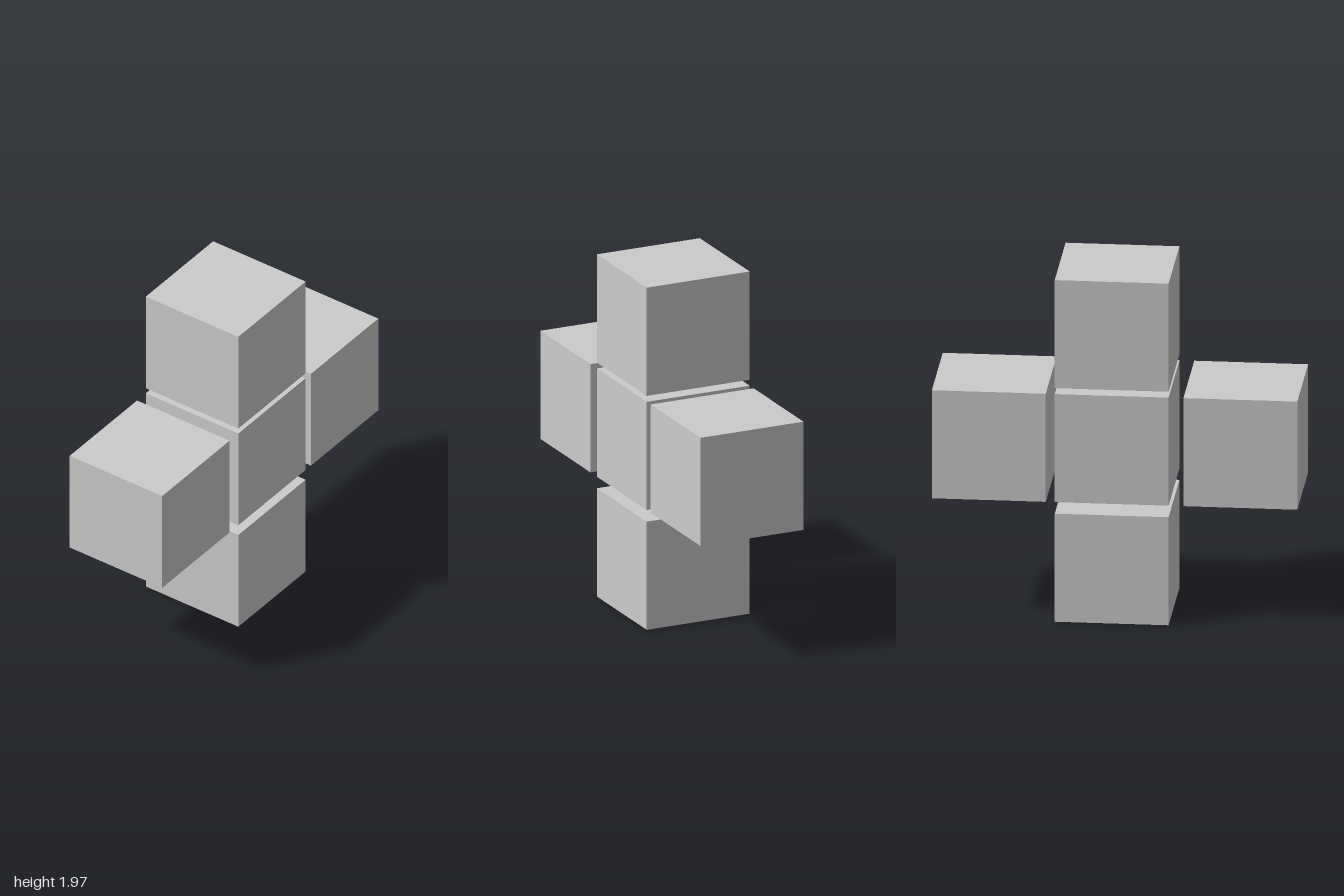
import * as THREE from 'three';

const SIZE = 0.623;

// Five equal cubes in a plus shape, with slightly uneven gaps: [name, x, y]
const CUBES = [
  ['bottomCube', 0.016, SIZE / 2],
  ['centreCube', 0.016, 1.001],
  ['topCube', 0.016, 1.658],
  ['leftCube', 0.688, 1.001],
  ['rightCube', -0.688, 1.001],
];

export function createModel() {
  const model = new THREE.Group();
  model.name = 'cubeCross';
  const material = new THREE.MeshStandardMaterial({ color: 0xcccccc });
  const geometry = new THREE.BoxGeometry(SIZE, SIZE, SIZE);

  for (const [name, x, y] of CUBES) {
    const cube = new THREE.Mesh(geometry, material);
    cube.name = name;
    cube.position.set(x, y, 0);
    model.add(cube);
  }
  return model;
}
